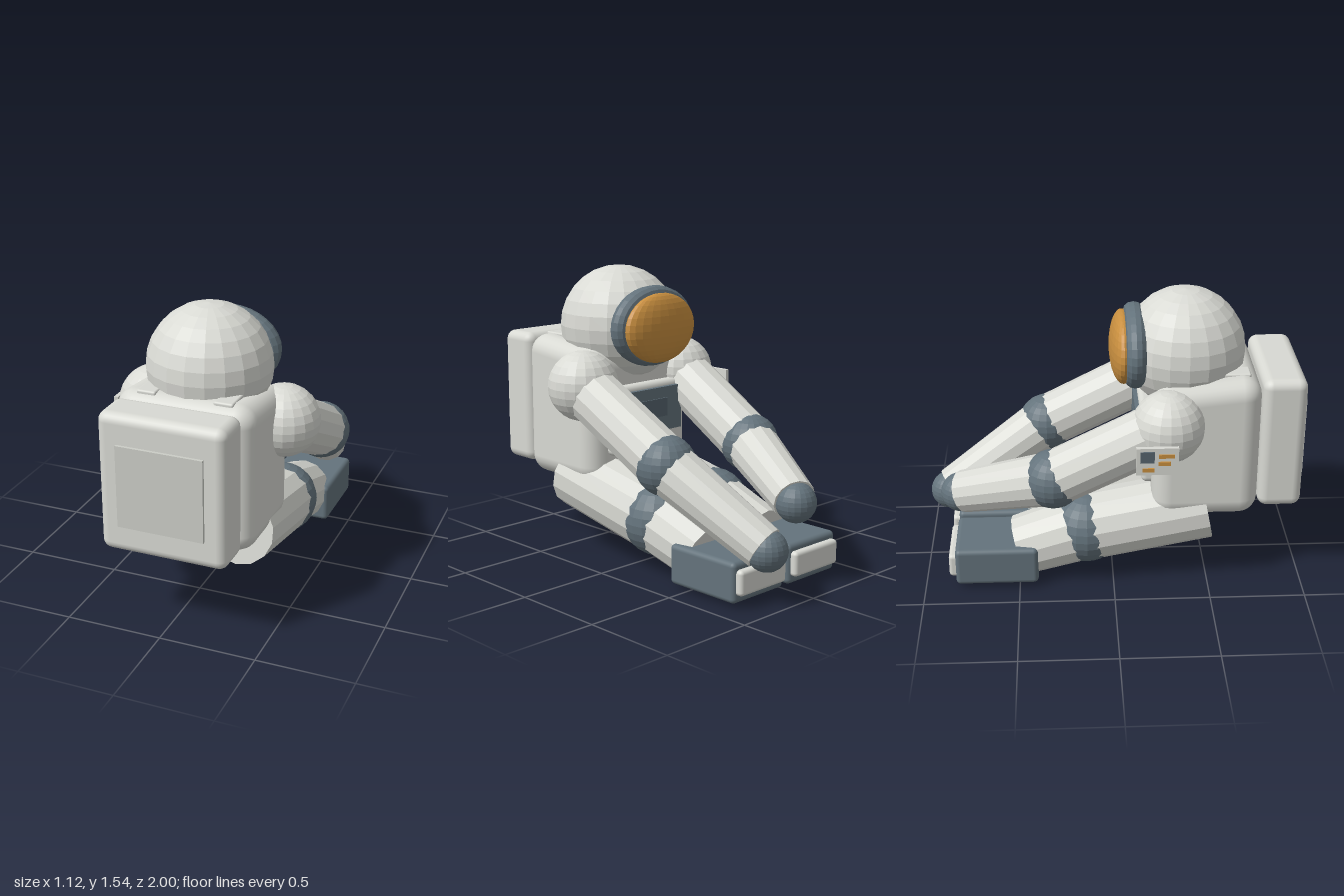
import * as THREE from 'three';
import { RoundedBoxGeometry } from 'three/addons/geometries/RoundedBoxGeometry.js';

const V = (x, y, z) => new THREE.Vector3(x, y, z);

export function createModel() {
  const model = new THREE.Group();
  model.name = 'seatedAstronaut';
  const CX = 0.017; // body centre line

  function material(name, color, flat = false) {
    const m = new THREE.MeshStandardMaterial({ color, flatShading: flat });
    m.name = name;
    return m;
  }
  const suit = material('suitWhite', 0xd9dad4, true);
  const shell = material('shellWhite', 0xd8d9d3);
  const slate = material('slateJoint', 0x64737c, true);
  const boot = material('bootSlate', 0x64737c);
  const gold = material('visorGold', 0xc98f3f, true);
  const panel = material('panelGrey', 0xcbcdc6);
  const screen = material('screenSlate', 0x57656e);

  function add(name, geometry, mat, pos) {
    const mesh = new THREE.Mesh(geometry, mat);
    mesh.name = name;
    if (pos) mesh.position.copy(pos);
    model.add(mesh);
    return mesh;
  }
  const ball = (name, r, mat, pos) => add(name, new THREE.SphereGeometry(r, 20, 14), mat, pos);

  // Box given by its min and max corners
  function box(name, a, b, r, mat) {
    const s = b.clone().sub(a);
    const geo = r ? new RoundedBoxGeometry(s.x, s.y, s.z, 3, r) : new THREE.BoxGeometry(s.x, s.y, s.z);
    return add(name, geo, mat, a.clone().add(b).multiplyScalar(0.5));
  }

  // Faceted tapered limb between two points
  function limb(name, a, b, ra, rb) {
    const dir = b.clone().sub(a);
    const geo = new THREE.CylinderGeometry(rb, ra, dir.length(), 14);
    const mesh = add(name, geo, suit, a.clone().add(b).multiplyScalar(0.5));
    mesh.quaternion.setFromUnitVectors(V(0, 1, 0), dir.normalize());
  }

  // Torso, its upper front sloping down a little
  const torso = box('torso', V(CX - 0.363, 0.4, 0.2), V(CX + 0.363, 1.172, 0.755), 0.1, shell);
  const p = torso.geometry.attributes.position;
  for (let i = 0; i < p.count; i++) {
    const front = Math.max(0, 0.12 - p.getZ(i));
    if (p.getY(i) > 0) p.setY(i, p.getY(i) - front * 0.13);
  }
  torso.geometry.computeBoundingSphere();

  // Backpack and its rear hatch
  box('backpack', V(CX - 0.327, 0.44, 0.757), V(CX + 0.327, 1.165, 0.985), 0.05, shell);
  box('backpackHatch', V(CX - 0.222, 0.59, 0.98), V(CX + 0.222, 1.015, 1.0), 0, panel);
  for (const s of [-1, 1]) {
    const x = CX + s * 0.2;
    box('shoulderStrap', V(x - 0.05, 1.1, 0.42), V(x + 0.05, 1.178, 0.7), 0.01, shell);
  }

  // Chest unit
  box('chestUnit', V(CX - 0.25, 0.56, 0.148), V(CX + 0.25, 0.93, 0.25), 0.03, shell);
  box('chestPanel', V(CX - 0.22, 0.66, 0.125), V(CX + 0.22, 0.9, 0.16), 0, boot);
  box('chestScreen', V(CX - 0.11, 0.74, 0.118), V(CX + 0.125, 0.84, 0.126), 0, screen);

  // Helmet, rim and visor
  ball('helmet', 0.318, suit, V(CX, 1.23, 0.38));
  const rim = add('visorRim', new THREE.TorusGeometry(0.228, 0.052, 12, 32), slate, V(CX, 1.243, 0.12));
  rim.scale.set(1, 0.765, 1);
  const visor = add('visor', new THREE.SphereGeometry(1, 24, 16), gold, V(CX, 1.237, 0.06));
  visor.scale.set(0.244, 0.185, 0.072);

  // Arms reaching forward to the feet
  const arms = [
    { shoulder: V(0.37, 0.945, 0.275), elbow: V(0.37, 0.63, -0.345), hand: V(0.23, 0.285, -0.895) },
    { shoulder: V(-0.335, 0.945, 0.275), elbow: V(-0.287, 0.63, -0.31), hand: V(-0.08, 0.445, -0.81) },
  ];
  for (const { shoulder, elbow, hand } of arms) {
    ball('shoulder', 0.186, suit, shoulder);
    limb('upperArm', shoulder, elbow, 0.148, 0.146);
    ball('elbow', 0.155, slate, elbow);
    limb('forearm', elbow, elbow.clone().lerp(hand, 0.97), 0.143, 0.114);
    ball('glove', 0.105, slate, hand);
  }

  // Legs and boots
  for (const s of [-1, 1]) {
    const x = CX + s * 0.2;
    const knee = V(x, 0.28, -0.14);
    limb('thigh', V(x, 0.405, 0.498), knee, 0.187, 0.187);
    ball('knee', 0.194, slate, knee);
    limb('shin', knee, V(x, 0.167, -0.493), 0.182, 0.163);
    box('boot', V(x - 0.183, 0.035, -0.837), V(x + 0.183, 0.243, -0.4), 0.025, boot);
    box('toeCap', V(x - 0.165, 0.078, -0.872), V(x + 0.165, 0.207, -0.79), 0.02, shell);
  }

  // Control badge on the outer arm
  box('armBadge', V(-0.558, 0.79, 0.1), V(-0.535, 0.937, 0.31), 0, shell);
  const detail = (name, y0, y1, z0, z1, mat) =>
    box(name, V(-0.565, y0, z0), V(-0.557, y1, z1), 0, mat);
  detail('badgeScreen', 0.86, 0.92, 0.12, 0.19, screen);
  detail('badgeBar', 0.885, 0.905, 0.21, 0.29, gold);
  detail('badgeBar', 0.845, 0.865, 0.21, 0.27, gold);
  detail('badgeBar', 0.81, 0.83, 0.13, 0.19, gold);

  return model;
}
